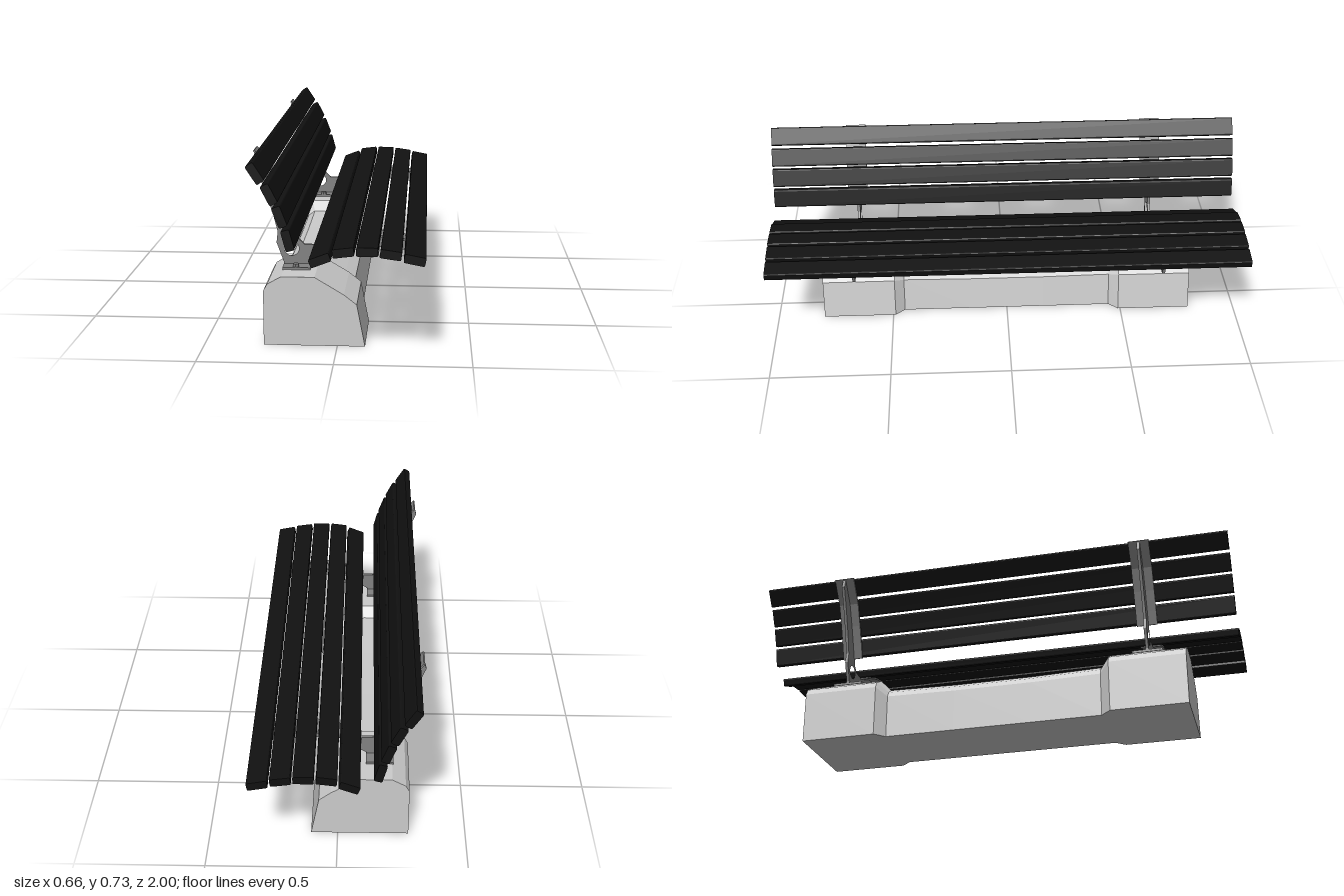
import * as THREE from 'three';

const concrete = new THREE.MeshStandardMaterial({ color: 0xcccccc, flatShading: true });
const steel = new THREE.MeshStandardMaterial({ color: 0x828282, flatShading: true });
const wood = new THREE.MeshStandardMaterial({ color: 0x111111, flatShading: true });

const toShape = (pts) => new THREE.Shape(pts.map(([x, y]) => new THREE.Vector2(x, y)));

// extrusion along z, centred on z = 0
function extrude(shape, depth, curveSegments = 6) {
  const g = new THREE.ExtrudeGeometry(shape, { depth, bevelEnabled: false, curveSegments });
  return g.translate(0, 0, -depth / 2);
}

function add(parent, name, geometry, material, x = 0, y = 0, z = 0) {
  const mesh = new THREE.Mesh(geometry, material);
  mesh.name = name;
  mesh.position.set(x, y, z);
  parent.add(mesh);
  return mesh;
}

// solid through matching counter-clockwise sections, from low z to high z
function loft(sections) {
  const pos = [], idx = [], n = sections[0].pts.length, last = sections.length - 1;
  sections.forEach(({ z, pts }) => pts.forEach(([x, y]) => pos.push(x, y, z)));
  for (let s = 0; s < last; s++) {
    for (let i = 0; i < n; i++) {
      const a = s * n + i, b = s * n + (i + 1) % n;
      idx.push(a, b, b + n, a, b + n, a + n);
    }
  }
  for (let i = 1; i < n - 1; i++) {
    idx.push(0, i + 1, i, last * n, last * n + i, last * n + i + 1);
  }
  const g = new THREE.BufferGeometry();
  g.setAttribute('position', new THREE.Float32BufferAttribute(pos, 3));
  g.setIndex(idx);
  const flat = g.toNonIndexed();
  flat.computeVertexNormals();
  return flat;
}

// Concrete foot: full blocks at the ends, slimmer and slightly sagging between
function createBase() {
  const end = [[-0.277, 0], [0.104, 0], [0.073, 0.162], [0.025, 0.2],
    [-0.085, 0.266], [-0.21, 0.266], [-0.262, 0.237], [-0.277, 0.21]];
  const slim = [[-0.237, 0], [0.07, 0], [0.044, 0.145], [0.005, 0.17],
    [-0.095, 0.225], [-0.195, 0.225], [-0.225, 0.203], [-0.237, 0.18]];
  const sag = slim.map(([x, y]) => [x, y * 0.97]);
  return loft([
    { z: -0.8, pts: end }, { z: -0.49, pts: end }, { z: -0.45, pts: slim }, { z: -0.16, pts: sag },
    { z: 0.16, pts: sag }, { z: 0.45, pts: slim }, { z: 0.49, pts: end }, { z: 0.8, pts: end },
  ]);
}

// edges of the bracket that carry the slats
const backEdge = [[-0.317, 0.722], [-0.25, 0.63], [-0.213, 0.54], [-0.185, 0.46], [-0.167, 0.405]];
const seatEdge = [[-0.09, 0.351], [0.01, 0.391], [0.08, 0.403], [0.16, 0.4], [0.24, 0.39], [0.315, 0.375]];

// strip of even thickness lying under a polyline
function flange(pts, width) {
  const t = 0.007;
  const inner = pts.map(([x, y], i) => {
    const a = pts[Math.max(i - 1, 0)], b = pts[Math.min(i + 1, pts.length - 1)];
    const dx = b[0] - a[0], dy = b[1] - a[1], l = Math.hypot(dx, dy);
    return [x + dy / l * t, y - dx / l * t];
  });
  return extrude(toShape([...pts, ...inner.reverse()]), width);
}

function createSupport() {
  const support = new THREE.Group();
  const outline = toShape([
    ...backEdge, [-0.16, 0.375], [-0.135, 0.351], ...seatEdge,
    [0.3, 0.332], [0.16, 0.346], [0.09, 0.35], [0.03, 0.36], [-0.03, 0.338], [-0.06, 0.308],
    [-0.11, 0.279], [-0.11, 0.27], [-0.215, 0.27], [-0.215, 0.28], [-0.243, 0.358],
    [-0.238, 0.4], [-0.257, 0.475], [-0.3, 0.6], [-0.33, 0.675],
  ]);
  const hole = new THREE.Path();
  hole.absarc(-0.185, 0.335, 0.028, 0, Math.PI * 2, true);
  outline.holes.push(hole);
  add(support, 'supportWeb', extrude(outline, 0.012, 12), steel);
  add(support, 'backFlange', flange(backEdge, 0.085), steel);
  add(support, 'seatFlange', flange(seatEdge, 0.085), steel);
  add(support, 'footPlate', new THREE.BoxGeometry(0.106, 0.01, 0.125), steel, -0.162, 0.27, 0);
  for (const side of [-1, 1]) {
    add(support, 'bolt', new THREE.CylinderGeometry(0.013, 0.013, 0.012, 6), steel, -0.165, 0.281, side * 0.047);
  }
  return support;
}

// Slat with softened long edges
function createSlat() {
  const w = 0.0385, h = 0.016, r = 0.006;
  const s = new THREE.Shape();
  s.moveTo(-w + r, -h);
  s.lineTo(w - r, -h);
  s.quadraticCurveTo(w, -h, w, -h + r);
  s.lineTo(w, h - r);
  s.quadraticCurveTo(w, h, w - r, h);
  s.lineTo(-w + r, h);
  s.quadraticCurveTo(-w, h, -w, h - r);
  s.lineTo(-w, -h + r);
  s.quadraticCurveTo(-w, -h, -w + r, -h);
  return extrude(s, 2, 3);
}

export function createModel() {
  const bench = new THREE.Group();
  bench.name = 'bench';
  add(bench, 'concreteBase', createBase(), concrete);

  for (const side of [-1, 1]) {
    const support = createSupport();
    support.name = side > 0 ? 'frontSupport' : 'rearSupport';
    support.position.z = side * 0.64;
    bench.add(support);
  }

  // x, y and tilt in degrees of each slat
  const slat = createSlat();
  const rows = {
    seatSlat: [[-0.048, 0.386, 21], [0.035, 0.415, 7], [0.12, 0.419, 0], [0.204, 0.41, -8], [0.289, 0.392, -11]],
    backSlat: [[-0.274, 0.696, 123], [-0.225, 0.621, 117], [-0.189, 0.541, 111], [-0.161, 0.456, 105]],
  };
  for (const [name, list] of Object.entries(rows)) {
    for (const [x, y, tilt] of list) {
      add(bench, name, slat, wood, x, y, 0).rotation.z = THREE.MathUtils.degToRad(tilt);
    }
  }
  return bench;
}
